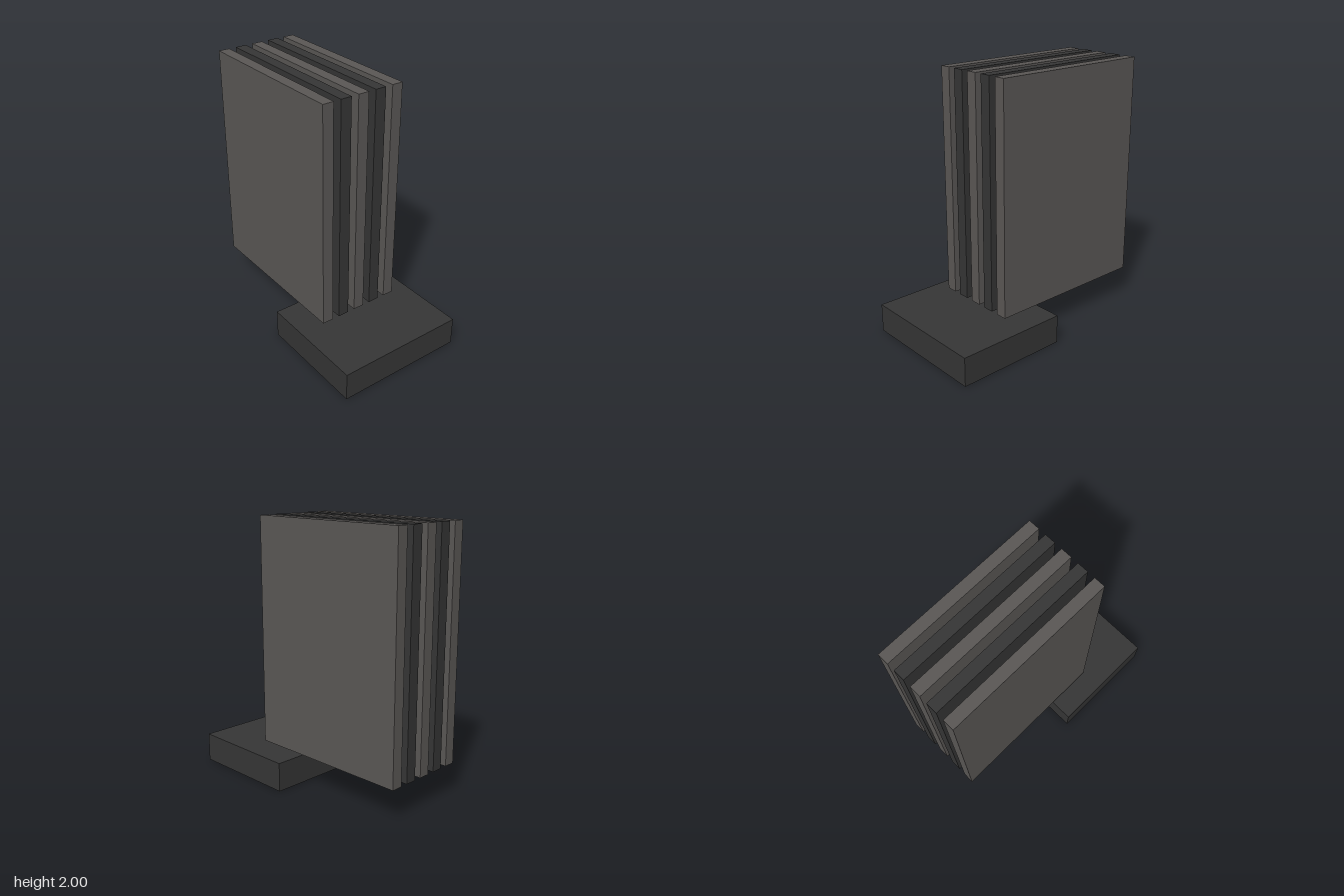
import * as THREE from 'three';

export function createModel() {
  const model = new THREE.Group();
  const lightGrey = new THREE.MeshStandardMaterial({ color: 0x5a5755 });
  lightGrey.name = 'warm grey';
  const darkGrey = new THREE.MeshStandardMaterial({ color: 0x353535 });
  darkGrey.name = 'charcoal';

  // Box given by its lower and upper corners
  function addBox(name, material, [x0, y0, z0], [x1, y1, z1]) {
    const mesh = new THREE.Mesh(new THREE.BoxGeometry(x1 - x0, y1 - y0, z1 - z0), material);
    mesh.position.set((x0 + x1) / 2, (y0 + y1) / 2, (z0 + z1) / 2);
    mesh.name = name;
    model.add(mesh);
  }

  // Low slab at the front
  addBox('baseSlab', darkGrey, [-0.508, 0, 0.037], [0.508, 0.221, 0.908]);

  // Five upright panels in alternating greys, floating just above the slab
  const spacing = 0.145, half = 0.0435;
  for (let i = 0; i < 5; i++) {
    const x = (i - 2) * spacing;
    addBox(`panel${i + 1}`, i % 2 ? darkGrey : lightGrey,
      [x - half, 0.258, -0.908], [x + half, 2, 0.4]);
  }
  return model;
}
